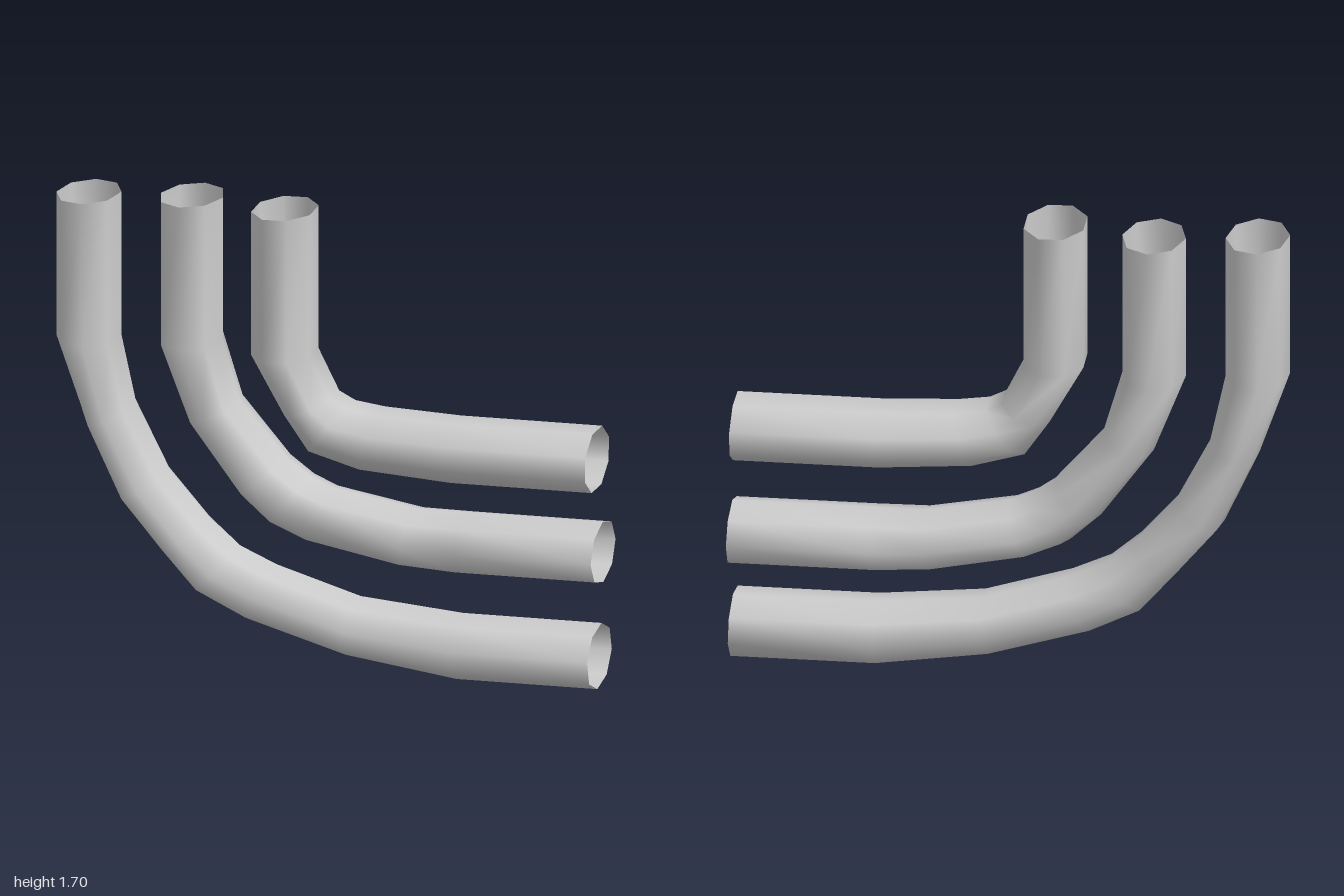
import * as THREE from 'three';

const SIDES = 8;
const material = new THREE.MeshStandardMaterial({ color: 0xcccccc, side: THREE.DoubleSide });

// Open bent pipe. Each station holds the outer and inner edge of the bend [ox, oy, ix, iy];
// an eight-sided oval ring of half depth rz, turned by phase, is spanned between them.
function bentPipe(name, stations, z, rz, phase) {
  const angles = Array.from({ length: SIDES }, (_, j) => phase + (j / SIDES) * Math.PI * 2);
  const fit = 1 / Math.max(...angles.map(Math.cos)); // flats still reach the full width
  const positions = [];
  const index = [];
  stations.forEach(([ox, oy, ix, iy], i) => {
    for (const a of angles) {
      const s = Math.sin(a) * fit / 2;
      positions.push(
        (ox + ix) / 2 + (ix - ox) * s,
        (oy + iy) / 2 + (iy - oy) * s,
        z + Math.cos(a) * rz * fit
      );
    }
    if (i === 0) return;
    for (let j = 0; j < SIDES; j++) {
      const k = (j + 1) % SIDES;
      const a = (i - 1) * SIDES + j, b = (i - 1) * SIDES + k;
      const c = i * SIDES + j, d = i * SIDES + k;
      index.push(a, c, b, b, c, d);
    }
  });
  const geometry = new THREE.BufferGeometry();
  geometry.setAttribute('position', new THREE.Float32BufferAttribute(positions, 3));
  geometry.setIndex(index);
  geometry.computeVertexNormals();
  const mesh = new THREE.Mesh(geometry, material);
  mesh.name = name;
  return mesh;
}

export function createModel() {
  const group = new THREE.Group();
  group.name = 'bentPipes';

  // Wide sweep on the outside
  group.add(bentPipe('outerPipe', [
    [-1, 1.7, -0.775, 1.7],
    [-1, 1.17, -0.775, 1.17],
    [-0.89, 0.86, -0.72, 0.92],
    [-0.765, 0.59, -0.595, 0.68],
    [-0.61, 0.405, -0.445, 0.51],
    [-0.485, 0.26, -0.335, 0.42],
    [-0.3, 0.17, -0.2, 0.36],
    [0.07, 0.06, 0.11, 0.265],
    [0.48, 0, 0.49, 0.23],
    [1, 0, 1, 0.23],
  ], 0.01, 0.17, 0.17));

  // Medium sweep
  group.add(bentPipe('middlePipe', [
    [-0.635, 1.7, -0.405, 1.7],
    [-0.635, 1.17, -0.405, 1.17],
    [-0.52, 0.88, -0.34, 0.95],
    [-0.33, 0.62, -0.165, 0.75],
    [-0.22, 0.52, -0.08, 0.69],
    [-0.08, 0.46, 0, 0.655],
    [0.27, 0.39, 0.31, 0.6],
    [0.48, 0.375, 0.5, 0.6],
    [1, 0.375, 1, 0.6],
  ], -0.04, 0.172, -0.02));

  // Tight elbow on the inside
  group.add(bentPipe('innerPipe', [
    [-0.262, 1.7, -0.045, 1.7],
    [-0.262, 1.17, -0.045, 1.17],
    [-0.14, 0.955, 0.03, 1.02],
    [-0.05, 0.825, 0.09, 0.99],
    [0.14, 0.77, 0.2, 0.975],
    [0.48, 0.745, 0.48, 0.962],
    [1, 0.745, 1, 0.962],
  ], 0.045, 0.166, 0.43));

  return group;
}
